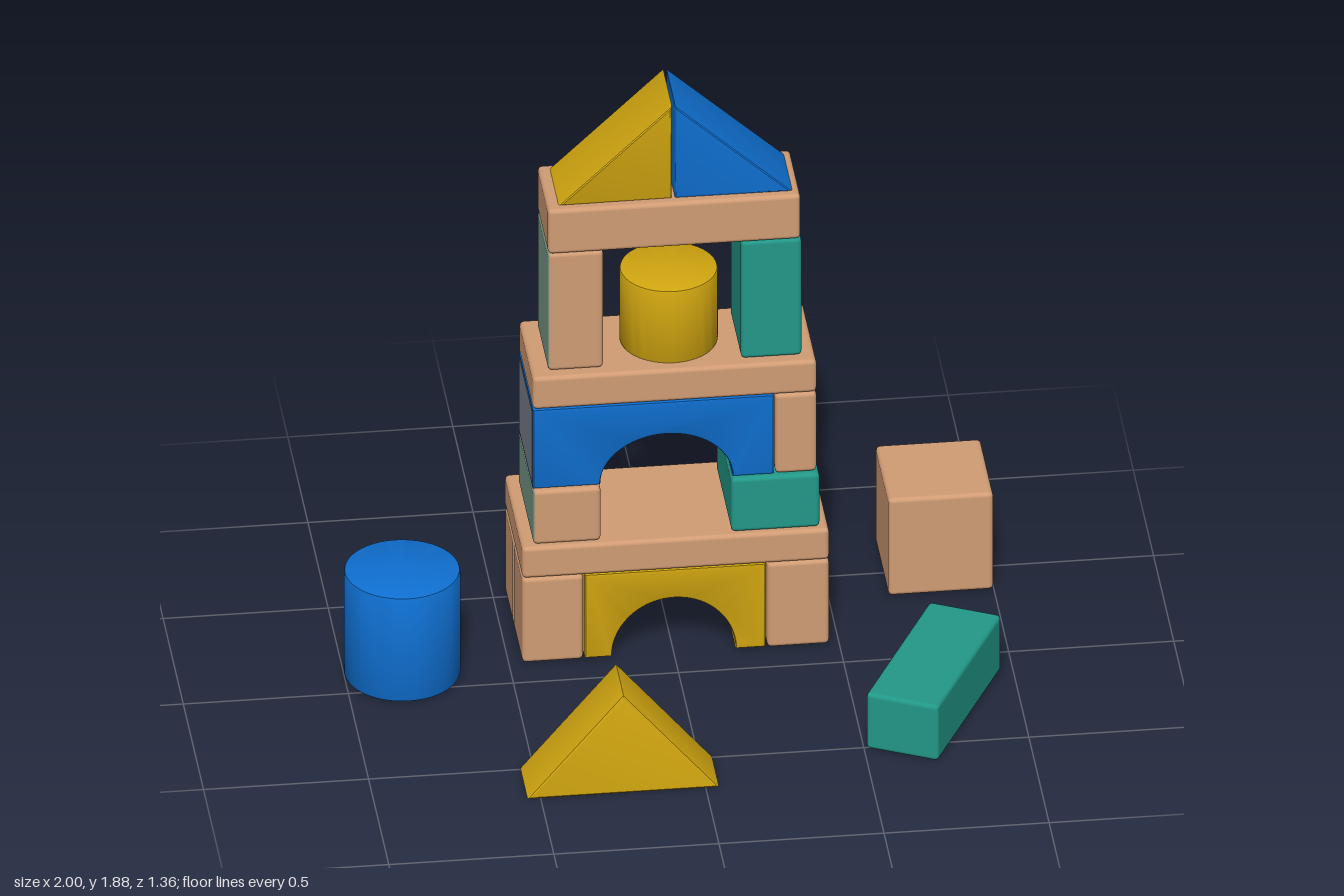
import * as THREE from 'three';
import { toCreasedNormals } from 'three/addons/utils/BufferGeometryUtils.js';
import { RoundedBoxGeometry } from 'three/addons/geometries/RoundedBoxGeometry.js';

function paint(name, color) {
  const m = new THREE.MeshStandardMaterial({ color });
  m.name = name;
  return m;
}

export function createModel() {
  const wood = paint('natural wood', 0xd09c74);
  const yellow = paint('yellow', 0xd0a510);
  const blue = paint('blue', 0x0f6fd0);
  const green = paint('green', 0x229888);
  const sage = paint('worn sage', 0x7a9a88);
  const slate = paint('worn slate', 0x7d828f);

  const model = new THREE.Group();
  model.name = 'buildingBlocks';

  function add(name, geometry, material) {
    const mesh = new THREE.Mesh(geometry, material);
    mesh.name = name;
    model.add(mesh);
    return mesh;
  }

  // Rounded box from its extents; faces overrides materials by side (0 +x, 1 -x, 2 +y, 3 -y, 4 +z, 5 -z)
  function block(name, material, [x0, x1], [y0, y1], [z0, z1], faces) {
    const geo = new RoundedBoxGeometry(x1 - x0, y1 - y0, z1 - z0, 2, 0.014);
    const mats = faces ? [0, 1, 2, 3, 4, 5].map((i) => faces[i] || material) : material;
    const mesh = add(name, geo, mats);
    mesh.position.set((x0 + x1) / 2, (y0 + y1) / 2, (z0 + z1) / 2);
    return mesh;
  }

  // Profile in x and y, extruded between two depths with softened edges
  function profile(name, material, shape, [z0, z1], b = 0.01) {
    const geo = new THREE.ExtrudeGeometry(shape, {
      depth: z1 - z0 - 2 * b, bevelSize: b, bevelThickness: b, bevelOffset: -b,
      bevelSegments: 2, curveSegments: 28,
    });
    geo.translate(0, 0, z0 + b);
    return add(name, toCreasedNormals(geo, 0.6), material);
  }

  function arch(name, material, [x0, x1], [y0, y1], cx, rx, ry, depth) {
    const s = new THREE.Shape();
    s.moveTo(x0, y0);
    s.lineTo(cx - rx, y0);
    s.absellipse(cx, y0, rx, ry, Math.PI, 0, true);
    s.lineTo(x1, y0);
    s.lineTo(x1, y1);
    s.lineTo(x0, y1);
    s.closePath();
    return profile(name, material, s, depth);
  }

  function wedge(name, material, points, depth) {
    return profile(name, material, new THREE.Shape(points.map((p) => new THREE.Vector2(...p))), depth);
  }

  // Upright cylinder with rounded rims
  function drum(name, material, x, z, r, y0, y1, b = 0.008) {
    const pts = [[0, y0], [r - b, y0], [r - b * 0.3, y0 + b * 0.3], [r, y0 + b],
      [r, y1 - b], [r - b * 0.3, y1 - b * 0.3], [r - b, y1], [0, y1]];
    const geo = new THREE.LatheGeometry(pts.map((p) => new THREE.Vector2(...p)), 48);
    add(name, toCreasedNormals(geo, 0.5), material).position.set(x, 0, z);
  }

  // Bottom storey: paired corner blocks around an arch
  const front = [-0.325, -0.105], back = [-0.54, -0.33];
  block('bottomRightFrontBlock', wood, [-0.46, -0.275], [0.004, 0.3], front);
  block('bottomRightBackBlock', wood, [-0.46, -0.275], [0.004, 0.3], back, { 3: green });
  block('bottomLeftFrontBlock', wood, [0.282, 0.47], [0.004, 0.3], front);
  block('bottomLeftBackBlock', wood, [0.282, 0.47], [0.004, 0.3], back, { 0: green });
  arch('bottomArch', yellow, [-0.27, 0.278], [0.004, 0.298], 0, 0.187, 0.192, [-0.54, -0.11]);
  block('bottomBeam', wood, [-0.46, 0.47], [0.3, 0.408], [-0.545, -0.105]);

  // Middle storey: two supports, large arch and end block
  const mid = [-0.49, -0.12];
  block('middleRightSupport', wood, [-0.425, -0.22], [0.408, 0.596], mid, { 1: sage });
  block('middleLeftSupport', green, [0.175, 0.443], [0.408, 0.596], mid);
  arch('middleArch', blue, [-0.425, 0.305], [0.598, 0.876], -0.02, 0.2, 0.163, [-0.475, -0.13]);
  const end = add('middleArchEnd', new THREE.BoxGeometry(0.004, 0.256, 0.322), slate);
  end.position.set(-0.4245, 0.737, -0.3025);
  block('middleEndBlock', wood, [0.309, 0.435], [0.598, 0.876], [-0.475, -0.13]);
  block('middleBeam', wood, [-0.425, 0.435], [0.876, 0.988], [-0.475, -0.13]);

  // Upper storey: two columns, a drum and a lintel
  block('rightColumn', wood, [-0.375, -0.207], [0.988, 1.4], [-0.43, -0.165], { 1: sage });
  block('leftColumn', green, [0.21, 0.394], [0.988, 1.4], [-0.43, -0.165]);
  drum('upperDrum', yellow, 0.008, -0.312, 0.148, 0.988, 1.243);
  block('topBeam', wood, [-0.375, 0.39], [1.4, 1.555], [-0.432, -0.16]);

  // Roof: mirrored right-angled wedges
  wedge('roofRight', yellow, [[-0.34, 1.555], [0.003, 1.555], [0.003, 1.88]], [-0.41, -0.185]);
  wedge('roofLeft', blue, [[0.013, 1.555], [0.368, 1.555], [0.013, 1.88]], [-0.41, -0.185]);

  // Loose blocks around the tower
  drum('looseDrum', blue, -0.825, -0.1, 0.175, 0.004, 0.368);
  block('looseCube', wood, [0.68, 0.998], [0.004, 0.343], [-0.683, -0.358]);
  const slab = block('looseSlab', green, [0.62, 0.85], [0.004, 0.198], [0.02, 0.592]);
  slab.rotation.y = -0.463;
  wedge('looseWedge', yellow, [[-0.54, 0.004], [0.04, 0.004], [-0.25, 0.35]], [0.49, 0.68]);
  const base = add('looseWedgeBase', new THREE.BoxGeometry(0.51, 0.004, 0.168), wood);
  base.position.set(-0.25, 0.004, 0.585);

  return model;
}
